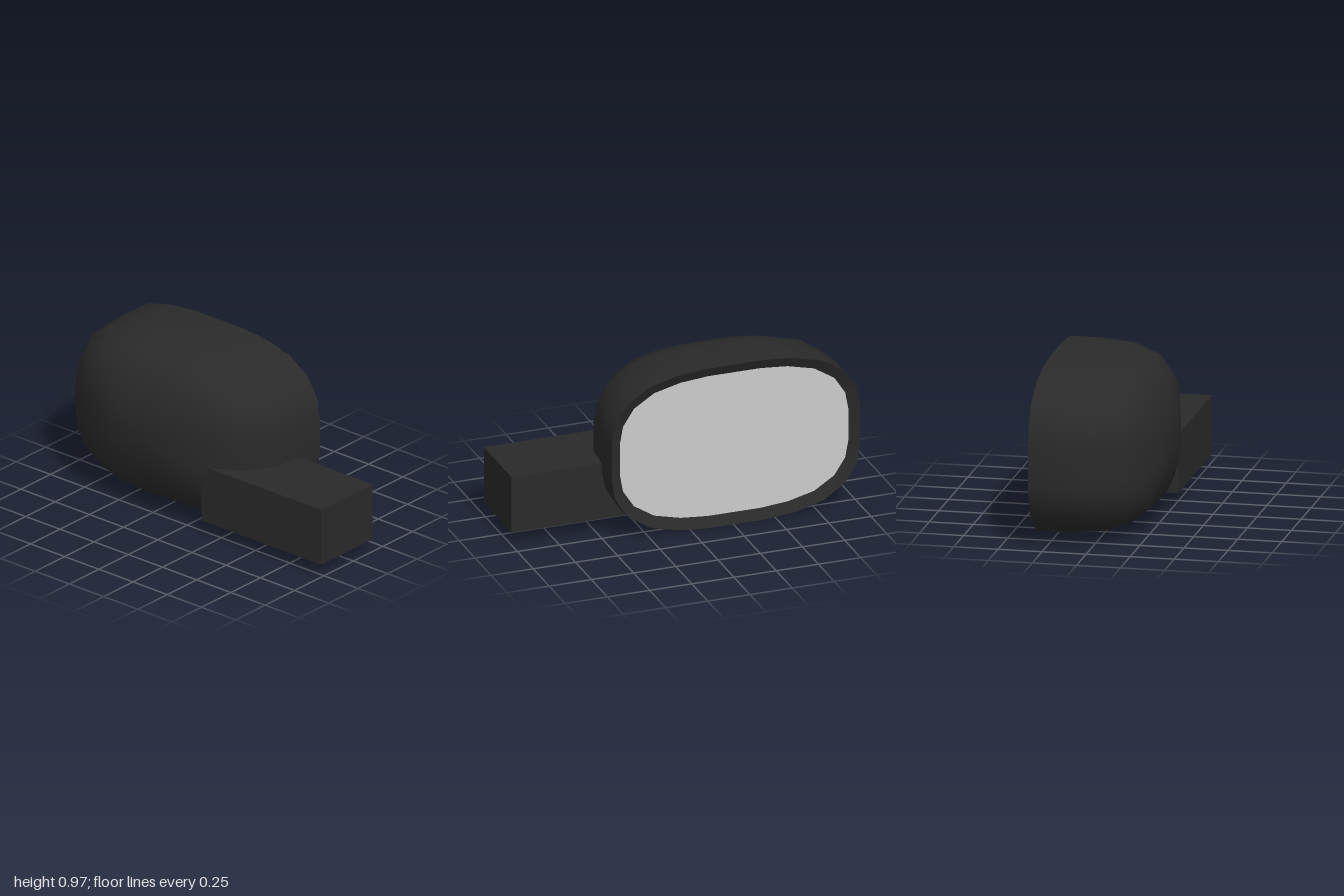
import * as THREE from 'three';

const CENTER_X = -0.265, CENTER_Y = 0.487;

// One quarter of the rounded outline, mirrored into a full counter-clockwise loop
const quarter = [[0.735, 0.11], [0.715, 0.225], [0.645, 0.338], [0.515, 0.425], [0.345, 0.469], [0.17, 0.485]];
const half = [...quarter, ...quarter.map(([x, y]) => [-x, y]).reverse()];
const outline = [...half, ...half.map(([x, y]) => [-x, -y])];

// Skin scaled copies of the outline; each section is [z, scaleX, scaleY]
function loft(sections, tipZ) {
  const n = outline.length, positions = [], index = [];
  for (const [z, sx, sy] of sections) {
    for (const [x, y] of outline) positions.push(x * sx, y * sy, z);
  }
  for (let r = 0; r < sections.length - 1; r++) {
    for (let i = 0; i < n; i++) {
      const a = r * n + i, b = r * n + (i + 1) % n;
      index.push(a, b, b + n, a, b + n, a + n);
    }
  }
  // Optional closing fan at the front
  if (tipZ !== undefined) {
    const tip = sections.length * n, last = tip - n;
    positions.push(0, 0, tipZ);
    for (let i = 0; i < n; i++) index.push(last + i, last + (i + 1) % n, tip);
  }
  const geometry = new THREE.BufferGeometry();
  geometry.setAttribute('position', new THREE.Float32BufferAttribute(positions, 3));
  geometry.setIndex(index);
  geometry.computeVertexNormals();
  return geometry;
}

export function createModel() {
  const model = new THREE.Group();
  model.name = 'sideMirror';
  const black = new THREE.MeshStandardMaterial({ color: 0x2a2a2a });
  const grey = new THREE.MeshStandardMaterial({ color: 0xcccccc });

  const add = (name, geometry, material, x, y, z) => {
    const mesh = new THREE.Mesh(geometry, material);
    mesh.name = name;
    mesh.position.set(x, y, z);
    model.add(mesh);
    return mesh;
  };

  // Rounded shell, open towards the back
  const shell = loft([
    [-0.33, 1, 1], [-0.19, 1, 1], [0.01, 0.973, 0.97],
    [0.163, 0.85, 0.868], [0.27, 0.62, 0.68], [0.328, 0.31, 0.31],
  ], 0.332);
  add('housing', shell, black, CENTER_X, CENTER_Y, 0);

  // Bevelled rim leading in to the glass
  const rim = loft([[-0.3, 0.92, 0.875], [-0.33, 1, 1]]);
  add('rim', rim, black, CENTER_X, CENTER_Y, 0);

  // Recessed reflecting pane, facing back
  const pane = new THREE.Shape(outline.map(([x, y]) => new THREE.Vector2(x * 0.92, y * 0.875)));
  const glass = add('mirrorGlass', new THREE.ShapeGeometry(pane), grey, CENTER_X, CENTER_Y, -0.3);
  glass.rotation.y = Math.PI;

  // Square mounting arm
  add('mountingArm', new THREE.BoxGeometry(0.875, 0.337, 0.435), black, 0.5625, 0.2465, 0.0575);

  return model;
}
